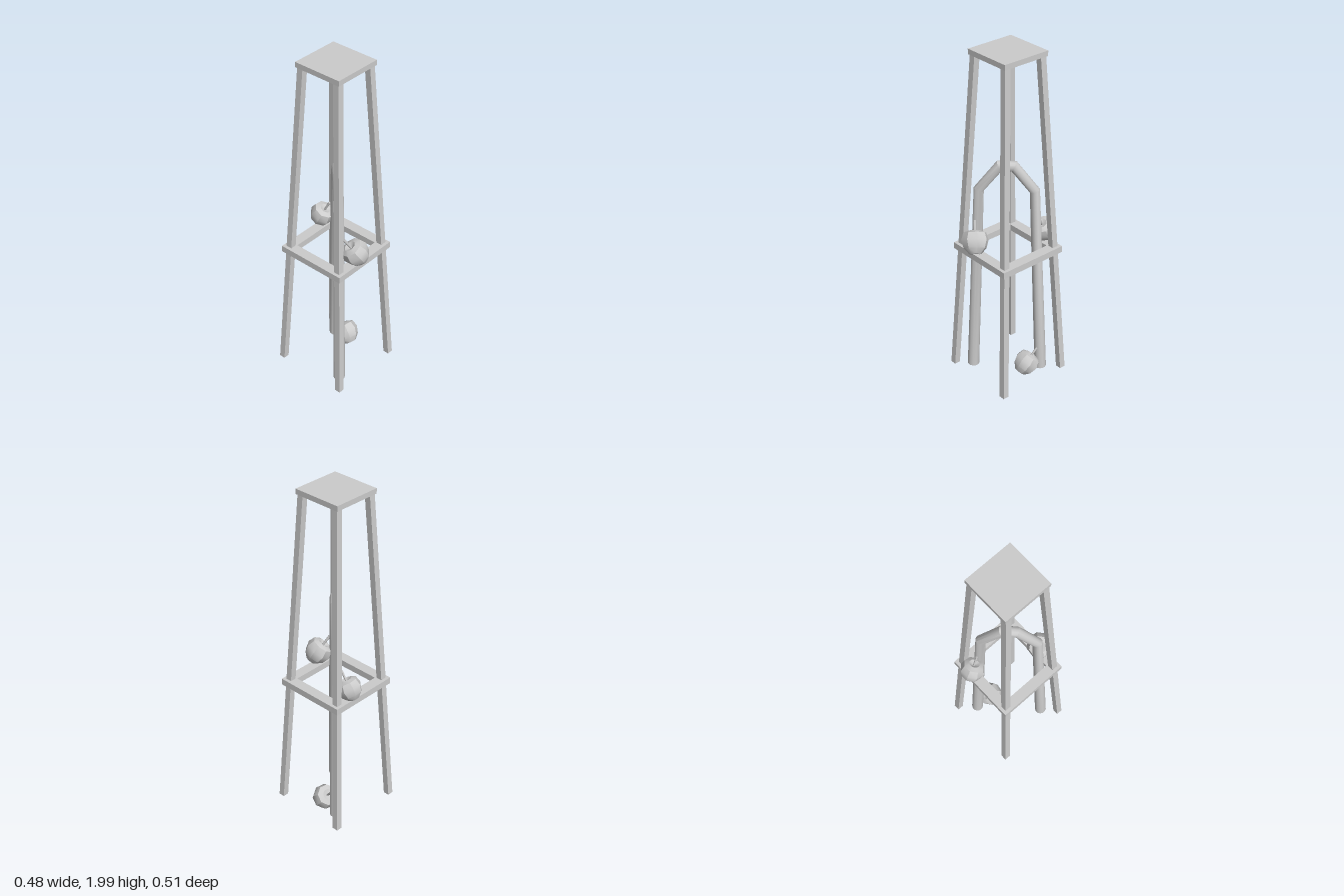
import * as THREE from 'three';
import { toCreasedNormals } from 'three/addons/utils/BufferGeometryUtils.js';

const material = new THREE.MeshStandardMaterial({ color: 0xcccccc });
const STOOL_Z = -0.008;

function addMesh(parent, name, geometry) {
  const mesh = new THREE.Mesh(geometry, material);
  mesh.name = name;
  parent.add(mesh);
  return mesh;
}

// Square post whose horizontal ends are shifted so it leans towards the centre
function splayedLeg(sx, sz) {
  const y0 = 0.012, y1 = 1.972, w = 0.036;
  const geo = new THREE.BoxGeometry(w, 1, w);
  const pos = geo.attributes.position;
  for (let i = 0; i < pos.count; i++) {
    const top = pos.getY(i) > 0;
    const reach = (top ? 0.138 : 0.238) - w / 2;
    pos.setXYZ(i, pos.getX(i) + sx * reach, top ? y1 : y0, pos.getZ(i) + sz * reach);
  }
  geo.computeVertexNormals();
  return geo;
}

// Round bar swept along a path of [x, y, z, radius], with mitred bends
function mitredBar(path, sides) {
  const n = path.length - 1;
  const pts = path.map(p => new THREE.Vector3(p[0], p[1], p[2]));
  const dirs = pts.slice(1).map((p, i) => p.clone().sub(pts[i]).normalize());
  const side = new THREE.Vector3(1, 0, 1).normalize();
  const rings = pts.map((p, i) => {
    const a = dirs[Math.max(i - 1, 0)], b = dirs[Math.min(i, n - 1)];
    const t = a.clone().add(b).normalize();
    const normal = t.clone().cross(side).normalize();
    const binormal = normal.clone().cross(t);
    return { p, normal, binormal, r: path[i][3], stretch: 1 / t.dot(a) };
  });
  const geo = new THREE.CylinderGeometry(1, 1, 1, sides, n);
  const pos = geo.attributes.position;
  const v = new THREE.Vector3();
  for (let i = 0; i < pos.count; i++) {
    const k = rings[Math.round((pos.getY(i) + 0.5) * n)];
    v.copy(k.p)
      .addScaledVector(k.normal, pos.getX(i) * k.r * k.stretch)
      .addScaledVector(k.binormal, pos.getZ(i) * k.r);
    pos.setXYZ(i, v.x, v.y, v.z);
  }
  return toCreasedNormals(geo, 0.6);
}

// Faceted apple with a stem, tilted along the given axis
function makeApple(name, centre, axis, size, spin) {
  const apple = new THREE.Group();
  apple.name = name;
  const profile = [
    [0, -0.056], [0.034, -0.066], [0.064, -0.034], [0.077, 0.012],
    [0.064, 0.052], [0.034, 0.064], [0, 0.046],
  ].map(p => new THREE.Vector2(p[0], p[1]));
  addMesh(apple, 'appleBody', toCreasedNormals(new THREE.LatheGeometry(profile, 8), 0.7));
  const stem = addMesh(apple, 'appleStem', new THREE.CylinderGeometry(0.008, 0.006, 0.08, 6));
  stem.position.y = 0.08;
  apple.scale.setScalar(size);
  apple.position.set(...centre);
  apple.quaternion.setFromUnitVectors(
    new THREE.Vector3(0, 1, 0), new THREE.Vector3(...axis).normalize());
  apple.rotateY(spin);
  return apple;
}

export function createModel() {
  const model = new THREE.Group();
  model.name = 'tallStoolWithArchAndApples';

  // Tall stool: seat, four leaning legs and a flat shelf frame
  const stool = new THREE.Group();
  stool.name = 'tallStool';
  stool.position.z = STOOL_Z;
  model.add(stool);

  addMesh(stool, 'seat', new THREE.BoxGeometry(0.288, 0.03, 0.292)).position.y = 1.985;
  for (const sx of [-1, 1])
    for (const sz of [-1, 1]) addMesh(stool, 'leg', splayedLeg(sx, sz));

  const frame = new THREE.Shape();
  const o = 0.214, h = 0.153;
  frame.moveTo(-o, -o).lineTo(o, -o).lineTo(o, o).lineTo(-o, o).closePath();
  const hole = new THREE.Path();
  hole.moveTo(-h, -h).lineTo(-h, h).lineTo(h, h).lineTo(h, -h).closePath();
  frame.holes.push(hole);
  const frameGeo = new THREE.ExtrudeGeometry(frame, { depth: 0.038, bevelEnabled: false });
  frameGeo.rotateX(-Math.PI / 2);
  addMesh(stool, 'shelfFrame', frameGeo).position.y = 0.803;

  // Bent round bar standing on the diagonal under the seat
  const half = [[0.14, 0.015, 0.034], [0.108, 1.19, 0.028], [0.028, 1.335, 0.029]];
  const left = half.map(([d, y, r]) => [-d, y, d, r]);
  const right = half.map(([d, y, r]) => [d, y, -d, r]).reverse();
  addMesh(model, 'arch', mitredBar([...left, ...right], 12));

  // Two apples on the shelf frame, one on the floor
  model.add(
    makeApple('frontApple', [-0.052, 0.908, 0.186], [-0.055, 0.1, -0.045], 1, 0.3),
    makeApple('backApple', [0.09, 0.905, -0.197], [0.01, 0.09, 0.045], 0.92, 0.4),
    makeApple('floorApple', [0.128, 0.076, -0.037], [0.015, 0.085, -0.075], 0.96, 0.2),
  );
  return model;
}
